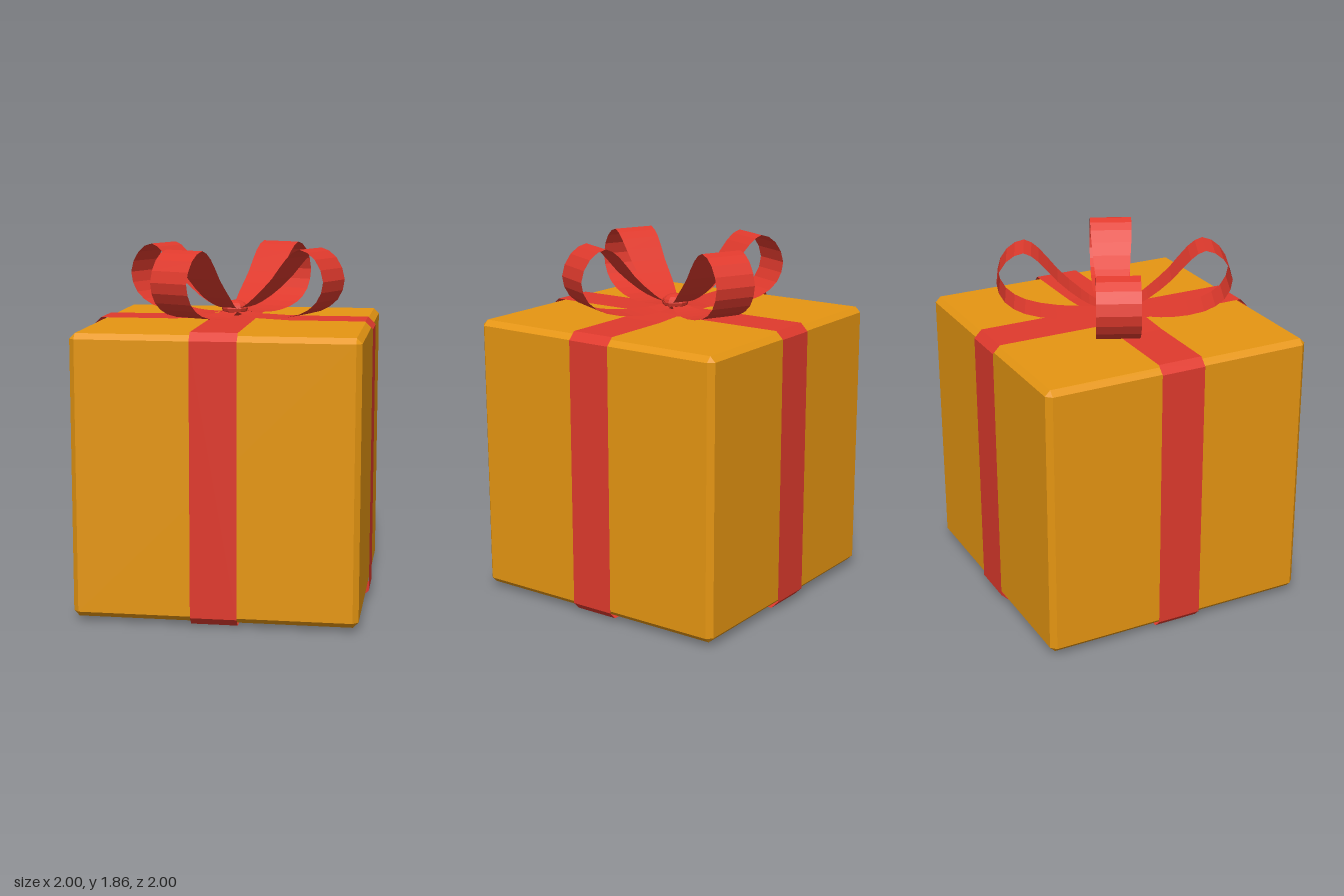
import * as THREE from 'three';
import { ConvexGeometry } from 'three/addons/geometries/ConvexGeometry.js';

const gold = new THREE.MeshStandardMaterial({ color: 0xe69612, flatShading: true });
const red = new THREE.MeshStandardMaterial({ color: 0xe03a2d, flatShading: true, side: THREE.DoubleSide });

// Thin strip following points (x, y), with z holding the half-width at each point
function stripGeometry(points) {
  const positions = [], index = [];
  points.forEach((p, i) => {
    positions.push(p.x, p.y, p.z, p.x, p.y, -p.z);
    if (i > 0) {
      const a = 2 * i - 2;
      index.push(a, a + 1, a + 2, a + 1, a + 3, a + 2);
    }
  });
  const geometry = new THREE.BufferGeometry();
  geometry.setAttribute('position', new THREE.Float32BufferAttribute(positions, 3));
  geometry.setIndex(index);
  geometry.computeVertexNormals();
  return geometry;
}

// Cube with one flat chamfer along every edge
function chamferedCube(half, chamfer) {
  const points = [], inner = half - chamfer;
  for (const x of [-1, 1]) for (const y of [-1, 1]) for (const z of [-1, 1]) {
    points.push(
      new THREE.Vector3(x * half, y * inner, z * inner),
      new THREE.Vector3(x * inner, y * half, z * inner),
      new THREE.Vector3(x * inner, y * inner, z * half));
  }
  return new ConvexGeometry(points);
}

// Closed band around the box; rise lifts it over the other band at the crossings
function bandGeometry(rise) {
  const h = 0.736, k = 0.696, w = 0.118;
  const outline = [
    [h, -k], [h, k], [k, h], [0.3, h], [0.12, h + rise], [-0.12, h + rise], [-0.3, h], [-k, h],
    [-h, k], [-h, -k], [-k, -h], [-0.3, -h], [-0.12, -h - rise], [0.12, -h - rise], [0.3, -h], [k, -h], [h, -k],
  ];
  return stripGeometry(outline.map(([x, y]) => new THREE.Vector3(x, y, w)));
}

export function createModel() {
  const model = new THREE.Group();
  const add = (parent, name, geometry, material) => {
    const mesh = new THREE.Mesh(geometry, material);
    mesh.name = name;
    parent.add(mesh);
    return mesh;
  };

  // Box and the two crossing bands, turned corner-first
  const parcel = new THREE.Group();
  parcel.name = 'parcel';
  parcel.position.y = 0.745;
  parcel.rotation.y = Math.PI / 4;
  model.add(parcel);
  add(parcel, 'box', chamferedCube(0.721, 0.028), gold);
  add(parcel, 'lowerBand', bandGeometry(0), red);
  add(parcel, 'upperBand', bandGeometry(0.009), red).rotation.y = Math.PI / 2;

  // Bow: four loops, each given as radius, height and half-width along its path
  const bow = new THREE.Group();
  bow.name = 'bow';
  bow.rotation.y = THREE.MathUtils.degToRad(20);
  model.add(bow);
  const path = new THREE.CatmullRomCurve3([
    [0.04, 1.53, 0.04], [0.09, 1.545, 0.06], [0.17, 1.595, 0.085], [0.29, 1.7, 0.1], [0.385, 1.81, 0.11],
    [0.46, 1.857, 0.11], [0.55, 1.81, 0.11], [0.6, 1.7, 0.11], [0.56, 1.595, 0.11],
    [0.46, 1.53, 0.107], [0.3, 1.499, 0.1], [0.18, 1.497, 0.085], [0.09, 1.505, 0.06], [0.04, 1.515, 0.04],
  ].map((p) => new THREE.Vector3(...p)));
  const loop = stripGeometry(path.getPoints(26));
  for (let i = 0; i < 4; i++) add(bow, 'bowLoop', loop, red).rotation.y = i * Math.PI / 2;

  // Knot at the centre of the bow
  const knot = add(bow, 'knot', new THREE.SphereGeometry(0.07, 12, 8), red);
  knot.scale.y = 0.6;
  knot.position.y = 1.53;

  return model;
}
